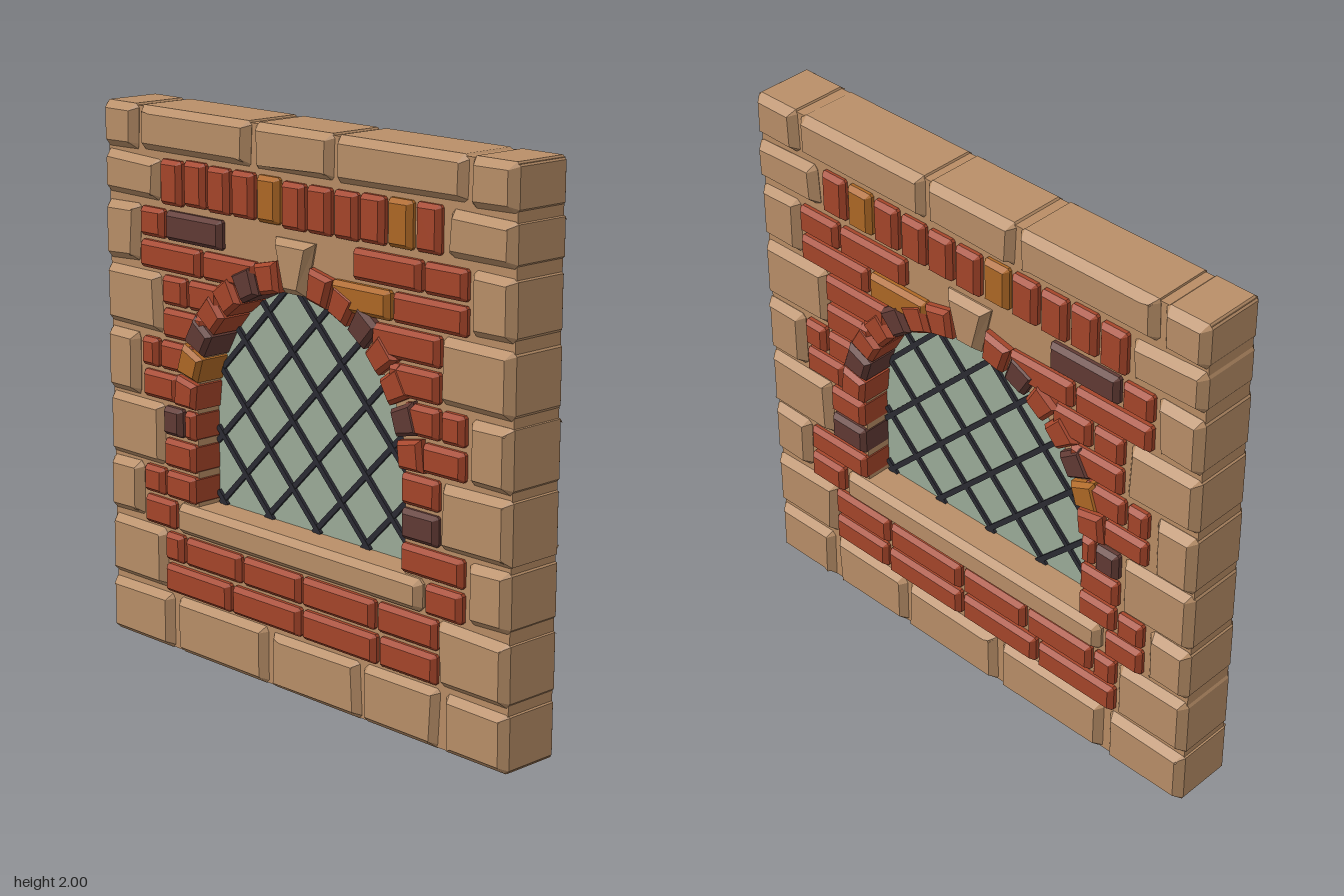
import * as THREE from 'three';

const mat = (name, color) => {
  const m = new THREE.MeshStandardMaterial({ color });
  m.name = name;
  return m;
};

// Opening: straight jambs with a round arch
const R = 0.515, SPRING = 0.925, SILL = 0.575;

function openingPath(path, r, bottom) {
  path.moveTo(-r, bottom);
  path.lineTo(r, bottom);
  path.lineTo(r, SPRING);
  path.absarc(0, SPRING, r, 0, Math.PI, false);
  path.lineTo(-r, bottom);
  return path;
}

// Prism through the wall, chamfered on its front and back edges
function chamferedPrism(points, halfDepth, size, thick) {
  const shape = new THREE.Shape(points.map(([x, y]) => new THREE.Vector2(x, y)));
  const depth = 2 * (halfDepth - thick);
  const geo = new THREE.ExtrudeGeometry(shape, {
    depth, bevelEnabled: true, bevelSegments: 1, bevelSize: size, bevelOffset: -size, bevelThickness: thick,
  });
  return geo.translate(0, 0, -depth / 2);
}

// Rectangle with clipped corners
function clippedRect(x0, x1, y0, y1, c) {
  return [[x0 + c, y0], [x1 - c, y0], [x1, y0 + c], [x1, y1 - c], [x1 - c, y1], [x0 + c, y1], [x0, y1 - c], [x0, y0 + c]];
}

export function createModel() {
  const model = new THREE.Group();
  model.name = 'archedWindowWall';
  const stone = mat('sandstone', 0xb98f68);
  const mortar = mat('mortar', 0xb98d65);
  const red = mat('redBrick', 0xa5452a);
  const dark = mat('darkBrick', 0x613a34);
  const orange = mat('orangeBrick', 0xae6825);
  const glassMat = mat('paleGreenGlass', 0x9cac99);
  const lead = mat('leadStrips', 0x2b2b33);

  let seed = 7;
  const rand = () => (seed = (seed * 16807) % 2147483647) / 2147483647 - 0.5;

  const groups = {};
  const add = (groupName, name, geo, material) => {
    if (!groups[groupName]) {
      groups[groupName] = new THREE.Group();
      groups[groupName].name = groupName;
      model.add(groups[groupName]);
    }
    const mesh = new THREE.Mesh(geo, material);
    mesh.name = name;
    groups[groupName].add(mesh);
    return mesh;
  };

  // Mortar core with the window opening
  const wall = new THREE.Shape([[-0.994, 0.004], [0.994, 0.004], [0.994, 1.994], [-0.994, 1.994]].map(p => new THREE.Vector2(...p)));
  wall.holes.push(openingPath(new THREE.Path(), R + 0.006, 0.52));
  add('core', 'mortarWall', new THREE.ExtrudeGeometry(wall, { depth: 0.212, bevelEnabled: false, curveSegments: 32 }).translate(0, 0, -0.106), mortar);

  // Sandstone blocks, slightly irregular but flush with the wall's outer edges
  const addStone = (x0, x1, y0, y1) => {
    const pts = clippedRect(x0, x1, y0, y1, 0.014).map(([x, y]) => [
      Math.abs(x) > 0.98 ? x : x + rand() * 0.014,
      y > 1.98 || y < 0.02 ? y : y + rand() * 0.012,
    ]);
    add('stones', 'stoneBlock', chamferedPrism(pts, 0.135 + rand() * 0.006, 0.026, 0.03), stone);
  };
  const topRow = [[-1, -0.82], [-0.8, -0.225], [-0.2, 0.18], [0.2, 0.785], [0.8, 1]];
  const bottomRow = [[-1, -0.66], [-0.63, -0.15], [-0.13, 0.32], [0.335, 0.69], [0.715, 1]];
  topRow.forEach(([a, b]) => addStone(a, b, 1.84, 2));
  bottomRow.forEach(([a, b]) => addStone(a, b, 0, 0.21));
  // Quoins alternating long and short: bottom, top, left inner edge, right inner edge
  [
    [1.67, 1.82, 0.71, 0.715], [1.43, 1.64, 0.82, 0.815], [1.185, 1.405, 0.705, 0.69], [0.94, 1.165, 0.83, 0.825],
    [0.695, 0.925, 0.7, 0.695], [0.475, 0.685, 0.82, 0.82], [0.225, 0.45, 0.7, 0.69],
  ].forEach(([y0, y1, left, right]) => {
    addStone(-1, -left, y0, y1);
    addStone(right, 1, y0, y1);
  });

  // Brick courses: bottom, top, then bricks as [x0, x1, material]
  const addBrick = (x0, x1, y0, y1, m = red) =>
    add('bricks', 'brick', chamferedPrism(clippedRect(x0, x1, y0, y1, 0.008), 0.137 + rand() * 0.006, 0.016, 0.018), m);
  const courses = [
    [1.535, 1.64, [-0.8, -0.675], [-0.66, -0.365, dark], [0.29, 0.6], [0.615, 0.8]],
    [1.42, 1.52, [-0.8, -0.48], [-0.465, -0.19], [0.19, 0.46, orange], [0.475, 0.8]],
    [1.3, 1.405, [-0.685, -0.56], [-0.545, -0.38], [0.38, 0.685]],
    [1.18, 1.285, [-0.685, -0.46], [0.46, 0.685]],
    [1.06, 1.165, [-0.8, -0.715], [-0.7, -0.53], [0.53, 0.685], [0.7, 0.8]],
    [0.943, 1.043, [-0.8, -0.615], [0.615, 0.8]],
    [0.82, 0.925, [-0.685, -0.585, dark], [-0.575, -0.518], [0.518, 0.685]],
    [0.7, 0.805, [-0.685, -0.518], [0.518, 0.685, dark]],
    [0.585, 0.685, [-0.8, -0.69], [-0.675, -0.518], [0.518, 0.8]],
    [0.465, 0.57, [-0.8, -0.635], [0.635, 0.8]],
    [0.345, 0.45, [-0.685, -0.59], [-0.575, -0.28], [-0.265, 0.03], [0.045, 0.395], [0.41, 0.685]],
    [0.225, 0.33, [-0.685, -0.335], [-0.32, 0.03], [0.045, 0.405], [0.42, 0.685]],
  ];
  for (const [y0, y1, ...bricks] of courses) bricks.forEach(([a, b, m]) => addBrick(a, b, y0, y1, m));

  // Upright soldier course
  for (let i = 0; i < 11; i++) {
    const x = -0.685 + i * 0.1258, dy = rand() * 0.012;
    addBrick(x, x + 0.109, 1.662 + dy, 1.823 + dy, i === 4 || i === 9 ? orange : red);
  }

  // Arch bricks, counted from the springing up on each side
  const archColors = { '-1': [red, orange, dark, red, red, dark, red], 1: [red, dark, red, red, dark, red, red] };
  for (const side of [-1, 1]) {
    archColors[side].forEach((m, i) => {
      const mid = THREE.MathUtils.degToRad(6.6 + i * 11.75), half = THREE.MathUtils.degToRad(5.2);
      const at = (r, a) => [side * r * Math.cos(a), SPRING + r * Math.sin(a)];
      const pts = [at(0.512, mid - half), at(0.622, mid - half), at(0.622, mid + half), at(0.512, mid + half)];
      if (side < 0) pts.reverse();
      add('arch', 'archBrick', chamferedPrism(pts, 0.143, 0.014, 0.018), m);
    });
  }
  add('arch', 'keystone', chamferedPrism([[-0.052, 1.435], [0.052, 1.435], [0.097, 1.622], [-0.097, 1.622]], 0.142, 0.024, 0.03), stone);

  // Window sill
  add('window', 'sill', chamferedPrism(clippedRect(-0.615, 0.615, 0.462, SILL, 0.016), 0.142, 0.022, 0.026), stone);

  // Glass pane
  const pane = openingPath(new THREE.Shape(), R + 0.004, SILL - 0.03);
  add('window', 'glass', new THREE.ExtrudeGeometry(pane, { depth: 0.016, bevelEnabled: false, curveSegments: 32 }).translate(0, 0, -0.008), glassMat);

  // Diagonal lead lattice, each strip trimmed to the opening
  const inside = (x, y) => y > SILL && Math.abs(x) < R && (y < SPRING || Math.hypot(x, y - SPRING) < R);
  const centreY = 1.08, spacing = 0.173;
  for (const dir of [-1, 1]) {
    for (let k = -4; k <= 4; k++) {
      const ox = -dir * Math.SQRT1_2 * k * spacing, oy = centreY + Math.SQRT1_2 * k * spacing;
      let lo = Infinity, hi = -Infinity;
      for (let t = -1; t <= 1; t += 0.005) {
        if (inside(ox + t * Math.SQRT1_2, oy + t * dir * Math.SQRT1_2)) {
          lo = Math.min(lo, t);
          hi = Math.max(hi, t);
        }
      }
      if (hi - lo < 0.04 || hi < lo) continue;
      const strip = add('lattice', 'leadStrip', new THREE.BoxGeometry(hi - lo + 0.01, 0.02, dir > 0 ? 0.036 : 0.04), lead);
      const t = (lo + hi) / 2;
      strip.position.set(ox + t * Math.SQRT1_2, oy + t * dir * Math.SQRT1_2, 0);
      strip.rotation.z = dir * Math.PI / 4;
    }
  }

  return model;
}
